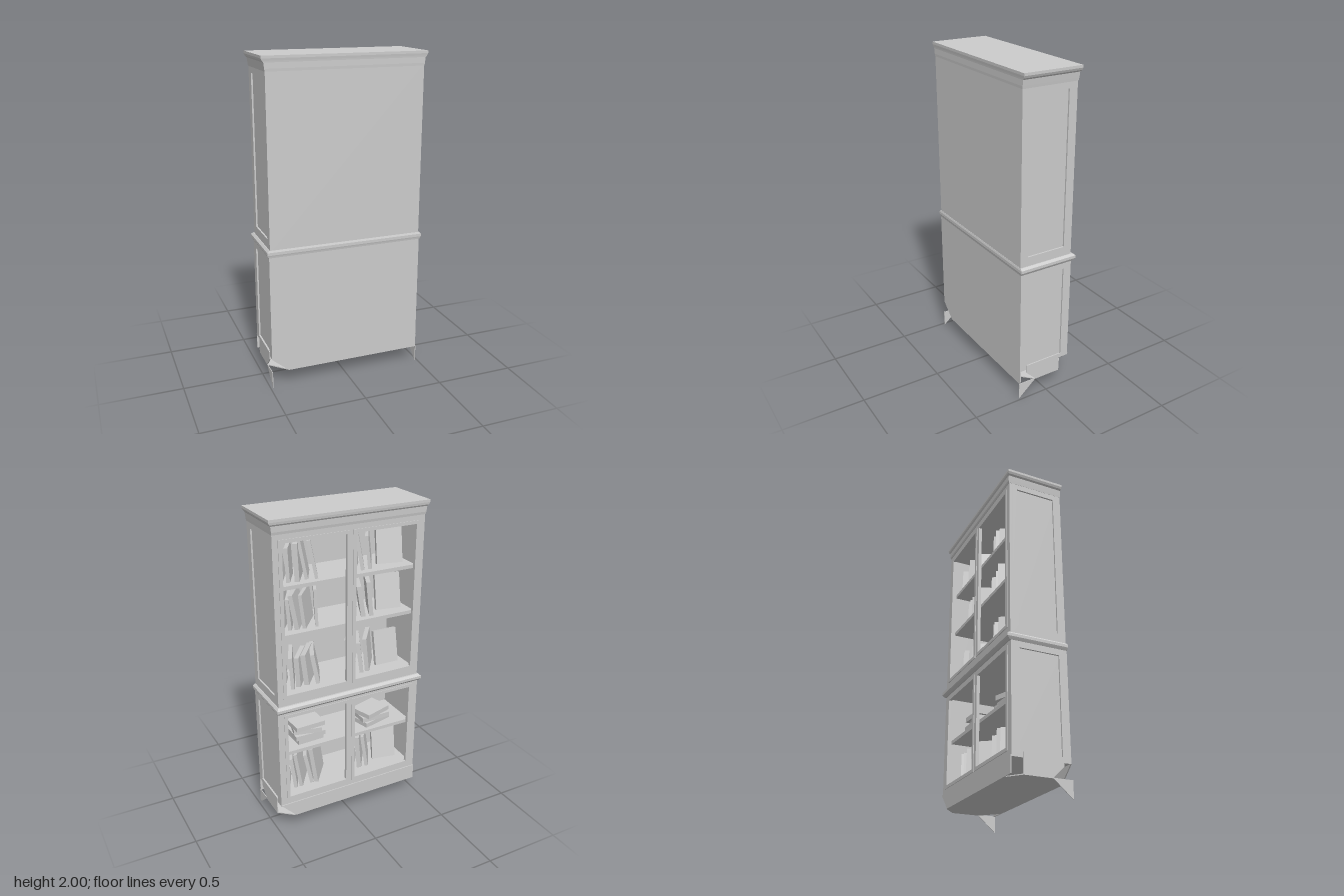
import * as THREE from 'three';

const material = new THREE.MeshStandardMaterial({ color: 0xcccccc, flatShading: true });

function add(parent, name, geometry, x = 0, y = 0, z = 0) {
  const mesh = new THREE.Mesh(geometry, material);
  mesh.name = name;
  mesh.position.set(x, y, z);
  parent.add(mesh);
  return mesh;
}

// Box given by its lower and upper limits
function block(parent, name, x0, x1, y0, y1, z0, z1) {
  return add(parent, name, new THREE.BoxGeometry(x1 - x0, y1 - y0, z1 - z0),
    (x0 + x1) / 2, (y0 + y1) / 2, (z0 + z1) / 2);
}

// Thin board cut to an outline, centred in depth
function board(outline, depth) {
  const shape = new THREE.Shape(outline.map(([x, y]) => new THREE.Vector2(x, y)));
  return new THREE.ExtrudeGeometry(shape, { depth, bevelEnabled: false }).translate(0, 0, -depth / 2);
}

// Rectangular cross-sections [y, half width, z min, z max] joined from bottom to top
function moulding(sections) {
  const rings = sections.map(([y, w, z0, z1]) => [[-w, y, z1], [w, y, z1], [w, y, z0], [-w, y, z0]]);
  const points = [];
  const quad = (a, b, c, d) => points.push(...a, ...b, ...c, ...a, ...c, ...d);
  for (let i = 0; i < rings.length - 1; i++) {
    for (let k = 0; k < 4; k++) {
      const n = (k + 1) % 4;
      quad(rings[i][k], rings[i][n], rings[i + 1][n], rings[i + 1][k]);
    }
  }
  const [a, b, c, d] = rings[0];
  quad(d, c, b, a);
  quad(...rings[rings.length - 1]);
  const geometry = new THREE.BufferGeometry();
  geometry.setAttribute('position', new THREE.Float32BufferAttribute(points, 3));
  geometry.computeVertexNormals();
  return geometry;
}

// Flat board with rectangular openings [x0, x1, y0, y1], centred in depth
function frame(x0, x1, y0, y1, depth, openings) {
  const trace = (path, l, r, b, t) => path.moveTo(l, b).lineTo(r, b).lineTo(r, t).lineTo(l, t).closePath();
  const shape = new THREE.Shape();
  trace(shape, x0, x1, y0, y1);
  for (const o of openings) {
    const hole = new THREE.Path();
    trace(hole, ...o);
    shape.holes.push(hole);
  }
  return new THREE.ExtrudeGeometry(shape, { depth, bevelEnabled: false }).translate(0, 0, -depth / 2);
}

// One tier: back, panelled sides, face frame, pair of unglazed doors and shelves
function cabinet(name, half, y0, y1, open0, open1, panel0, panel1, shelves) {
  const tier = new THREE.Group();
  tier.name = name;
  block(tier, 'backPanel', -half, half, y0, y1, 0.165, 0.185);
  block(tier, 'floor', -half + 0.02, half - 0.02, y0, open0 - 0.01, -0.145, 0.165);
  block(tier, 'ceiling', -half + 0.02, half - 0.02, open1 + 0.02, y1, -0.145, 0.165);
  for (const s of [-1, 1]) {
    block(tier, 'sidePanel', s * (half - 0.02) - 0.01, s * (half - 0.02) + 0.01, y0, y1, -0.15, 0.17);
    const side = frame(-0.185, 0.165, y0, y1, 0.012, [[-0.135, 0.113, panel0, panel1]]);
    add(tier, 'sideFrame', side.rotateY(Math.PI / 2), s * (half - 0.006));
    const l = s > 0 ? 0.008 : -0.445, r = s > 0 ? 0.445 : -0.008;
    add(tier, 'doorFrame', frame(l, r, open0 - 0.02, open1 + 0.02, 0.02,
      [[l + 0.022, r - 0.022, open0, open1]]), 0, 0, -0.159);
  }
  add(tier, 'faceFrame', frame(-half, half, y0, y1, 0.02,
    [[-0.435, -0.02, open0 - 0.008, open1 + 0.008], [0.02, 0.435, open0 - 0.008, open1 + 0.008]]), 0, 0, -0.155);
  for (const y of shelves) block(tier, 'shelf', -half + 0.02, half - 0.02, y - 0.022, y, -0.13, 0.165);
  return tier;
}

// Repeatable number sequence for varied books
let seed = 7;
const vary = (a, b) => {
  seed = (seed * 16807) % 2147483647;
  return a + (b - a) * seed / 2147483647;
};

// Leaning volumes turned aslant on the shelf, with an optional cover facing the doors
function bookRow(parent, centre, y, height, showCover) {
  const row = new THREE.Group();
  row.name = 'bookRow';
  const count = showCover ? 3 : 5;
  for (let i = 0; i < count; i++) {
    const w = vary(0.018, 0.03), h = height * vary(0.8, 1), d = vary(0.16, 0.21);
    const book = add(row, 'book', new THREE.BoxGeometry(w, h, d).translate(w / 2, h / 2, 0), -0.14 + i * 0.055);
    book.rotation.set(0, vary(-0.7, -0.4), vary(0.04, 0.2), 'YXZ');
  }
  if (showCover) {
    const cover = add(row, 'coverOutBook',
      new THREE.BoxGeometry(0.16, height * 0.95, 0.025).translate(0, height * 0.475, 0), 0.09, 0.002, 0.04);
    cover.rotation.set(-0.2, vary(-0.3, 0.1), 0, 'YXZ');
  }
  row.position.set(centre, y, 0);
  row.rotation.y = Math.PI;
  parent.add(row);
}

// Volumes lying flat on each other
function bookStack(parent, centre, y, count) {
  const stack = new THREE.Group();
  stack.name = 'bookStack';
  for (let i = 0; i < count; i++) {
    const book = add(stack, 'flatBook', new THREE.BoxGeometry(vary(0.17, 0.21), 0.03, vary(0.13, 0.16)), 0, 0.015 + i * 0.03, 0);
    book.rotation.y = vary(-0.35, 0.35);
  }
  stack.position.set(centre, y, -0.01);
  parent.add(stack);
}

// Hollow plinth of thin boards around a bottom plate with cut corners
function plinth() {
  const base = new THREE.Group();
  base.name = 'plinth';
  add(base, 'rearSkirt', board([[-0.38, 0.1], [0.486, 0.1], [0.486, 0.19], [-0.486, 0.19]], 0.006), 0, 0, 0.182);
  add(base, 'doorSideSkirt', board([[-0.486, 0.1], [0.39, 0.1], [0.486, 0.2], [-0.486, 0.2]], 0.006), 0, 0, -0.169);
  const plate = board([[-0.38, -0.184], [0.38, -0.184], [0.486, -0.08], [0.486, 0.1],
    [0.4, 0.17], [-0.4, 0.17], [-0.486, 0.1], [-0.486, -0.08]], 0.006);
  add(base, 'bottomPlate', plate.rotateX(-Math.PI / 2), 0, 0.103, 0);
  for (const s of [-1, 1]) {
    const bracket = board([[-0.07, 0.1], [0.1, 0.1], [0.1, 0.22], [-0.14, 0.22], [-0.14, 0.17]], 0.006);
    add(base, 'sideBracket', bracket.rotateY(Math.PI / 2), s * 0.485);
    const foot = board([[-0.19, 0], [-0.07, 0.104], [-0.19, 0.104]], 0.004);
    add(base, 'cornerFoot', foot.rotateY(Math.PI / 2), s * 0.485);
  }
  return base;
}

export function createModel() {
  const model = new THREE.Group();
  model.name = 'bookcase';
  seed = 7;

  model.add(cabinet('lowerCabinet', 0.485, 0.19, 0.855, 0.25, 0.81, 0.215, 0.81, [0.55]));
  model.add(cabinet('upperCabinet', 0.479, 0.88, 1.93, 0.96, 1.865, 0.95, 1.88, [1.32, 1.61]));
  model.add(plinth());

  // Cornice and waist ledge
  add(model, 'cornice', moulding([
    [1.915, 0.48, -0.168, 0.186], [1.93, 0.482, -0.171, 0.187], [1.963, 0.486, -0.172, 0.187],
    [1.972, 0.494, -0.178, 0.188], [1.985, 0.5, -0.18, 0.19], [2, 0.5, -0.18, 0.19],
  ]));
  add(model, 'waistLedge', moulding([
    [0.848, 0.486, -0.172, 0.186], [0.858, 0.492, -0.184, 0.188], [0.865, 0.496, -0.19, 0.19],
    [0.882, 0.496, -0.19, 0.19], [0.894, 0.484, -0.175, 0.186],
  ]));

  // Books on every shelf
  for (const x of [-0.235, 0.235]) {
    for (const y of [0.95, 1.32, 1.61]) bookRow(model, x, y, 0.23, x < 0);
    bookRow(model, x, 0.24, 0.25, x < 0);
    bookStack(model, x, 0.55, x > 0 ? 4 : 3);
  }
  return model;
}
